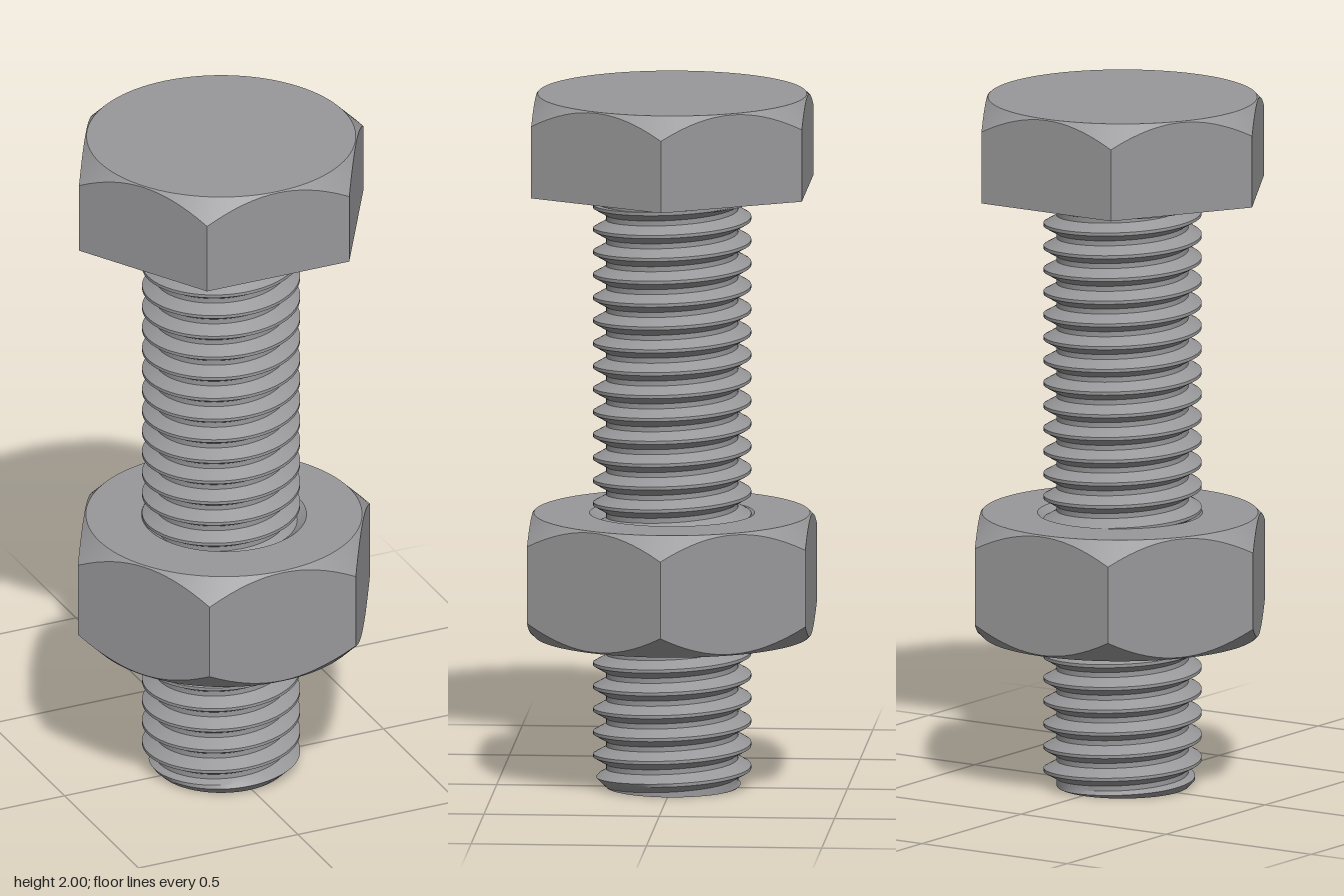
import * as THREE from 'three';
import { toCreasedNormals } from 'three/addons/utils/BufferGeometryUtils.js';

const STEPS = 96;
const clamp = THREE.MathUtils.clamp;

// Sweep a section [[radius, y], ...], which may vary with the angle, around the y axis.
function sweep(section) {
  const pos = [], index = [];
  let rows = 0;
  for (let s = 0; s <= STEPS; s++) {
    const t = (s / STEPS) * Math.PI * 2;
    const pts = section(t);
    rows = pts.length;
    for (const [r, y] of pts) pos.push(r * Math.cos(t), y, -r * Math.sin(t));
  }
  for (let s = 0; s < STEPS; s++) {
    for (let i = 0; i < rows - 1; i++) {
      const a = s * rows + i, b = a + rows;
      index.push(a, b, b + 1, a, b + 1, a + 1);
    }
  }
  const geo = new THREE.BufferGeometry();
  geo.setAttribute('position', new THREE.Float32BufferAttribute(pos, 3));
  geo.setIndex(index);
  return toCreasedNormals(geo, 0.5);
}

// Distance from the axis to a hexagon's side, with corners on the x axis
function hexRadius(t, apothem) {
  return apothem / Math.cos((t % (Math.PI / 3)) - Math.PI / 6);
}

// Head: flat below, rounded corners above
function headGeometry(y0, y1, apothem, circle) {
  return sweep((t) => {
    const r = hexRadius(t, apothem);
    return [[0, y0], [r, y0], [r, y1 - (r - circle)], [circle, y1], [0, y1]];
  });
}

// Nut: rounded corners on both faces and a countersunk hole
function nutGeometry(y0, y1, apothem, circle) {
  const hole = 0.235, inner = 0.19, sink = 0.035;
  return sweep((t) => {
    const r = hexRadius(t, apothem), drop = r - circle;
    return [
      [inner, y0 + sink], [hole, y0], [circle, y0], [r, y0 + drop],
      [r, y1 - drop], [circle, y1], [hole, y1], [inner, y1 - sink],
    ];
  });
}

// Shank: right-handed V thread with a chamfered tip
function threadGeometry(top, root, crest, pitch) {
  const profile = [
    [0, 0], [0.22, 0], [0.38, 0.5], [0.54, 1], [0.68, 1], [0.84, 0.5],
  ];
  const turns = Math.ceil(top / pitch) + 1;
  return sweep((t) => {
    const pts = [[0, 0]];
    for (let k = -1; k < turns; k++) {
      for (const [f, h] of profile) {
        const y = clamp((k + f + t / (Math.PI * 2)) * pitch, 0, top);
        const r = root + (crest - root) * h;
        pts.push([Math.min(r, root + y), y]);
      }
    }
    pts.push([0, top]);
    return pts;
  });
}

export function createModel() {
  const steel = new THREE.MeshStandardMaterial({ color: 0x98989a });
  steel.name = 'steel grey';

  const model = new THREE.Group();
  model.name = 'boltAndNut';
  const bolt = new THREE.Group();
  bolt.name = 'bolt';
  bolt.position.x = -0.009;
  model.add(bolt);

  const add = (parent, name, geometry) => {
    const mesh = new THREE.Mesh(geometry, steel);
    mesh.name = name;
    parent.add(mesh);
    return mesh;
  };

  add(bolt, 'head', headGeometry(1.73, 2, 0.386, 0.383));
  add(bolt, 'threadedShank', threadGeometry(1.7, 0.188, 0.225, 0.066));
  // Plain collar where the thread runs out
  add(bolt, 'collar', new THREE.CylinderGeometry(0.223, 0.223, 0.04, STEPS)).position.y = 1.71;
  add(model, 'nut', nutGeometry(0.44, 0.792, 0.397, 0.393));
  return model;
}
